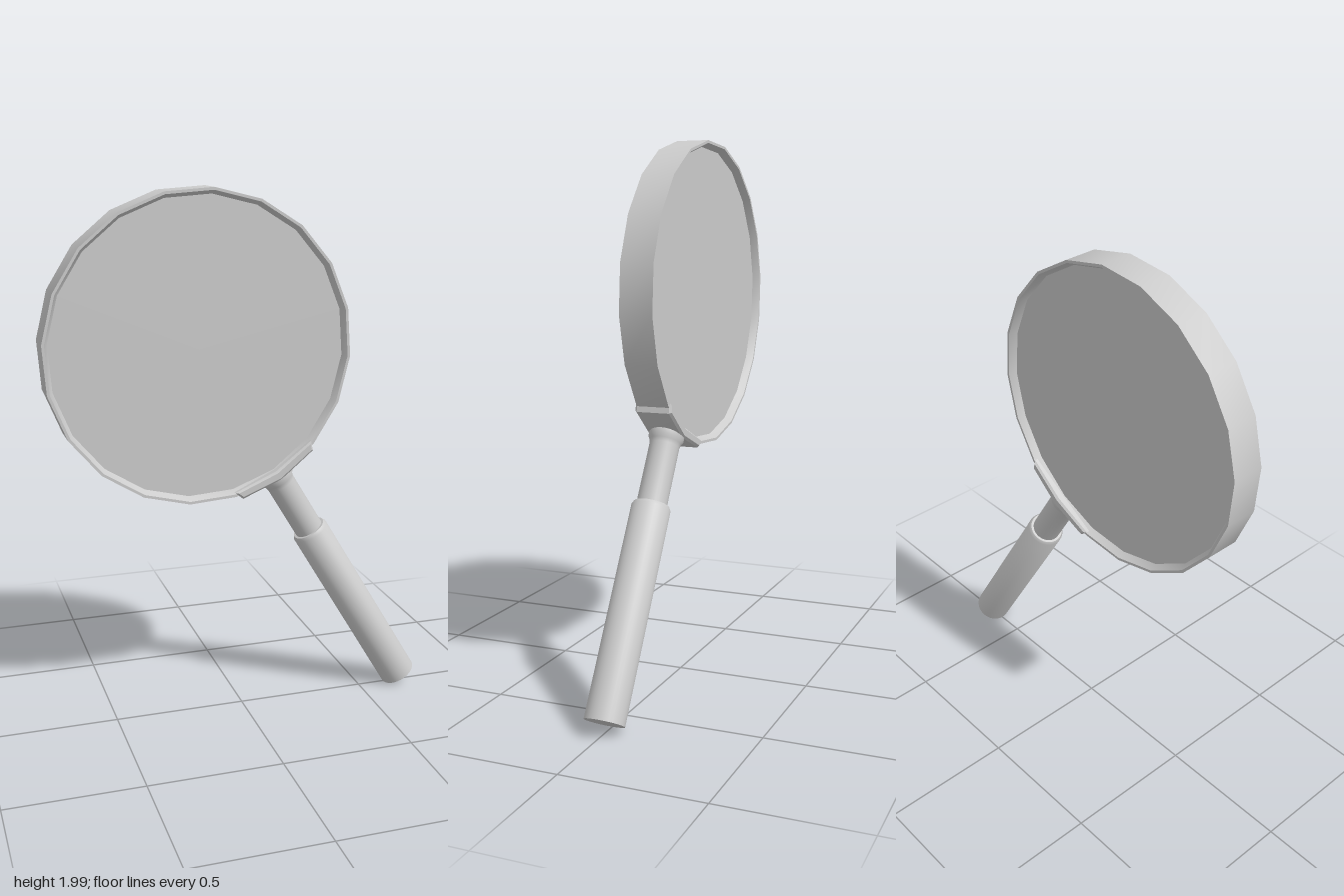
import * as THREE from 'three';
import { toCreasedNormals } from 'three/addons/utils/BufferGeometryUtils.js';

const material = new THREE.MeshStandardMaterial({ color: 0xcccccc });

// Adds a named mesh whose normals stay smooth except at sharp edges.
function addPart(parent, name, geometry) {
  const mesh = new THREE.Mesh(toCreasedNormals(geometry, 0.6), material);
  mesh.name = name;
  parent.add(mesh);
  return mesh;
}

// Turned solid around local y from [radius, height] pairs, listed bottom to top.
function turned(profile, sides) {
  return new THREE.LatheGeometry(profile.map(([r, y]) => new THREE.Vector2(r, y)), sides);
}

export function createModel() {
  const model = new THREE.Group();
  model.name = 'magnifyingGlass';

  // Origin at the lens centre, with the handle along local -y.
  const body = new THREE.Group();
  body.name = 'body';
  body.position.set(-0.167, 1.43, 0);
  body.rotation.z = THREE.MathUtils.degToRad(31);
  model.add(body);

  const R = 0.57, halfDepth = 0.062, lensZ = 0.035, lensR = 0.546;

  // Twenty-sided rim with sloping inner lips on both faces
  const rim = turned([
    [lensR, -lensZ], [0.56, -halfDepth], [R, -halfDepth],
    [R, halfDepth], [0.56, halfDepth], [lensR, lensZ],
  ], 20);
  addPart(body, 'rim', rim.rotateX(Math.PI / 2));

  // Flat lens set into the rim
  const lens = turned([[0, -lensZ], [lensR, -lensZ], [lensR, lensZ], [0, lensZ]], 20);
  addPart(body, 'lens', lens.rotateX(Math.PI / 2));

  // Bracket clasping the bottom of the rim
  const bevel = 0.008;
  const polar = (radius, degrees) => {
    const a = THREE.MathUtils.degToRad(degrees);
    return new THREE.Vector2(radius * Math.sin(a), -radius * Math.cos(a));
  };
  const clasp = new THREE.Shape([
    polar(0.577, -15.5), polar(0.58, 0), polar(0.577, 15.5),
    polar(0.558, 17), polar(0.556, 0), polar(0.558, -17),
  ]);
  const depth = 0.14 - 2 * bevel;
  const bracket = new THREE.ExtrudeGeometry(clasp, {
    depth, bevelEnabled: true, bevelThickness: bevel, bevelSize: bevel, bevelSegments: 1,
  });
  addPart(body, 'bracket', bracket.translate(0, 0, -depth / 2));

  // Neck with a small flare where it meets the bracket
  addPart(body, 'neck', turned([
    [0, -0.9], [0.055, -0.9], [0.055, -0.625], [0.058, -0.61],
    [0.065, -0.598], [0.065, -0.575], [0, -0.575],
  ], 32));

  // Grip with a softened upper edge and flat end
  addPart(body, 'grip', turned([
    [0, -1.622], [0.071, -1.622], [0.071, -0.862], [0.064, -0.85], [0, -0.85],
  ], 32));

  return model;
}
